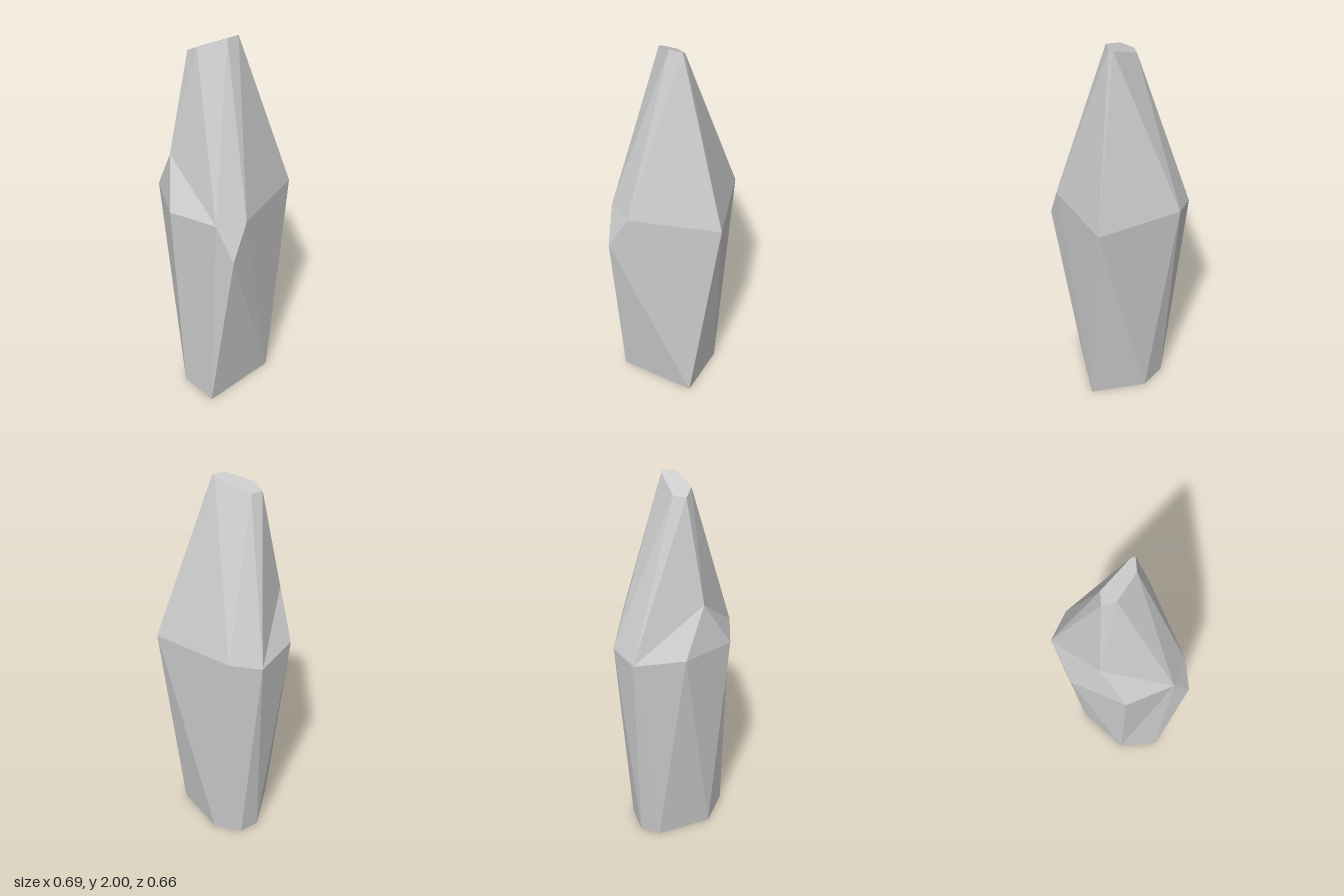
import * as THREE from 'three';

// Bottom ring, waist ring, ridge point and sloped tip of the crystal
const P = {
  // foot
  v1: [0.21, 0, 0.25], v2: [0.21, 0, -0.18], v3: [-0.1, 0, -0.18],
  v4: [-0.22, 0, -0.08], v5: [-0.22, 0, 0.03], v6: [-0.01, 0, 0.25],
  // waist
  a: [0.18, 1.18, -0.33], b: [-0.26, 1.18, -0.19], c: [-0.345, 1.15, -0.05], d: [-0.255, 1.18, 0.19],
  e: [0.005, 1.18, 0.33], f: [0.25, 1.18, 0.25], g: [0.343, 1.0, 0.22], h: [0.32, 1.18, 0.115],
  // front ridge
  i: [-0.11, 1.42, 0.225],
  // tip
  t1: [0.05, 1.99, -0.055], t2: [0.07, 2, -0.055], t3: [0.07, 2, 0.015],
  t4: [-0.02, 1.96, 0.12], t5: [-0.085, 1.93, 0.12], t6: [-0.085, 1.93, 0.055],
};

// Each facet is a polygon of point names; it is fanned and turned to face away from the core
function facets(list) {
  const core = new THREE.Vector3(0, 1.1, 0);
  const out = [];
  for (const facet of list) {
    const pts = facet.split(' ').map((n) => new THREE.Vector3(...P[n]));
    for (let k = 1; k < pts.length - 1; k++) {
      const tri = new THREE.Triangle(pts[0], pts[k], pts[k + 1]);
      const outward = tri.getNormal(new THREE.Vector3()).dot(pts[0].clone().sub(core)) > 0;
      const order = outward ? [tri.a, tri.b, tri.c] : [tri.a, tri.c, tri.b];
      for (const p of order) out.push(p.x, p.y, p.z);
    }
  }
  const geo = new THREE.BufferGeometry();
  geo.setAttribute('position', new THREE.Float32BufferAttribute(out, 3));
  geo.computeVertexNormals();
  return geo;
}

export function createModel() {
  const group = new THREE.Group();
  group.name = 'crystal';
  const material = new THREE.MeshStandardMaterial({ color: 0xcccccc, flatShading: true });
  const parts = {
    // tapering lower body with its flat underside
    crystalBase: ['v1 v2 v3 v4 v5 v6', 'a b v3 v2', 'b c v4 v3', 'c d v5 v4', 'd e v6 v5',
      'e f v6', 'f g v1 v6', 'g v2 v1', 'g h v2', 'h a v2'],
    // pointed upper body with the chipped front ridge
    crystalPoint: ['a b t1', 'a t1 t2', 'b c t6 t1', 'c t5 t6', 'c d i t5', 'd e i', 'i e f',
      'i f t4 t5', 'f h t3 t4', 'f g h', 'h a t2 t3'],
    // slanted cut across the tip
    crystalTip: ['t1 t2 t3 t4 t5 t6'],
  };
  for (const [name, list] of Object.entries(parts)) {
    const mesh = new THREE.Mesh(facets(list), material);
    mesh.name = name;
    group.add(mesh);
  }
  return group;
}
